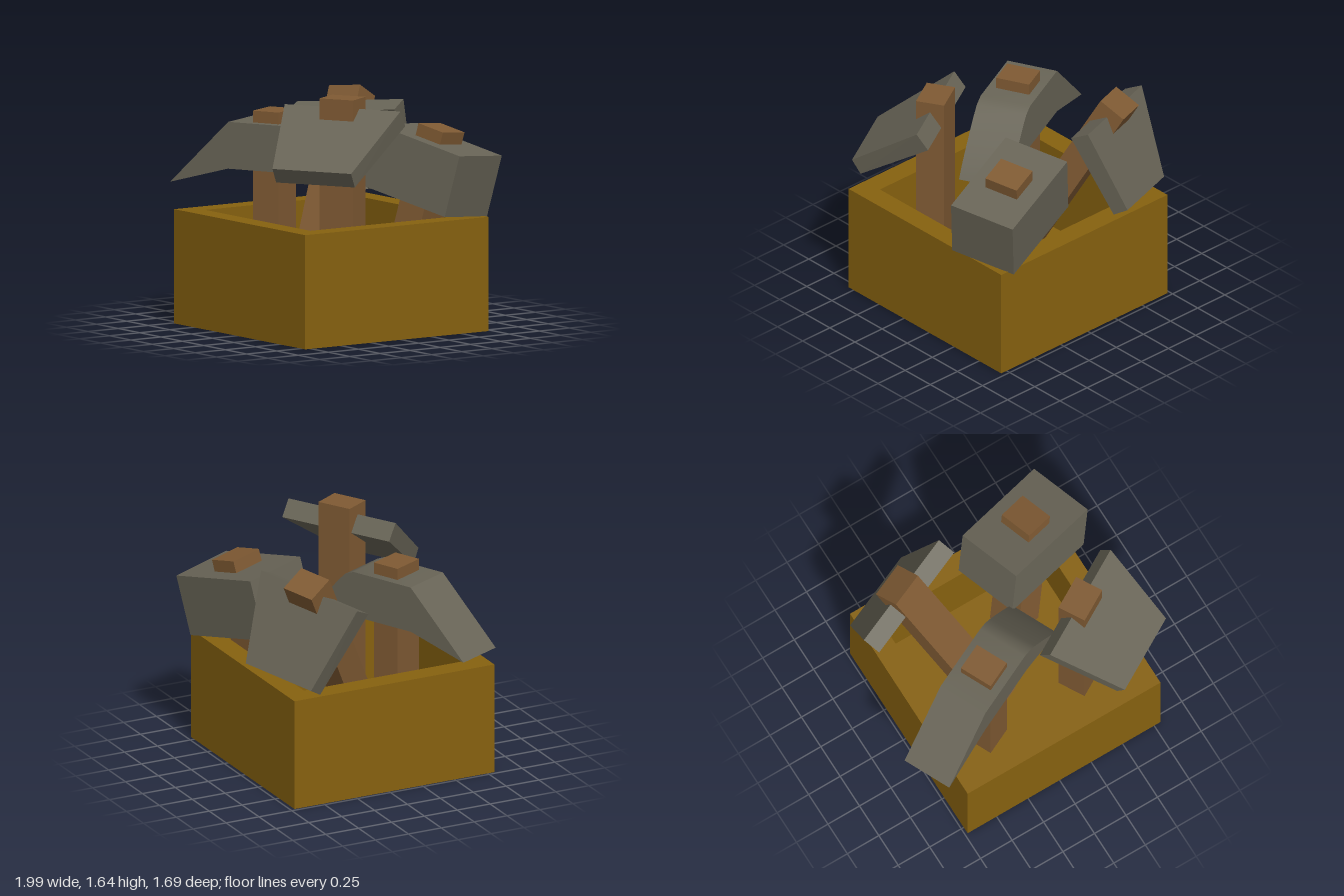
import * as THREE from 'three';
import { toCreasedNormals } from 'three/addons/utils/BufferGeometryUtils.js';

const mat = (name, color) => Object.assign(new THREE.MeshStandardMaterial({ color }), { name });

// Prism from a side profile, centred on z
function prism(points, width) {
  const shape = new THREE.Shape(points.map(([x, y]) => new THREE.Vector2(x, y)));
  return new THREE.ExtrudeGeometry(shape, { depth: width, bevelEnabled: false }).translate(0, 0, -width / 2);
}

// Slanted blade that narrows towards its cutting edge; origin at the handle top
function hoeHead() {
  const geo = prism([[0, -0.07], [-0.08, -0.18], [0.44, -0.54], [0.5, -0.44]], 0.86);
  const p = geo.attributes.position;
  for (let i = 0; i < p.count; i++) if (p.getX(i) > 0.2) p.setZ(i, p.getZ(i) * 0.68);
  geo.rotateY(-Math.PI / 2);
  geo.computeVertexNormals();
  return geo;
}

// Pick with one straight point and one rounded point
function pickHead() {
  const geo = prism([
    [-0.706, -0.52], [-0.26, -0.40], [0.257, -0.40], [0.626, -0.52],
    [0.57, -0.43], [0.47, -0.3], [0.36, -0.17], [0.3, -0.11], [0.23, -0.08], [-0.257, -0.08],
  ], 0.36);
  return toCreasedNormals(geo, 0.6);
}

const hammerHead = () => new THREE.BoxGeometry(0.74, 0.43, 0.48).translate(0, -0.3, 0);

export function createModel() {
  const model = new THREE.Group();
  const crateMat = mat('ochre crate', 0x86610f);
  const woodMat = mat('brown wood', 0x7f5a33);
  const stoneMat = mat('grey stone', 0x686456);

  const add = (parent, name, geo, material) => {
    const mesh = new THREE.Mesh(geo, material);
    mesh.name = name;
    parent.add(mesh);
    return mesh;
  };

  // Open crate: wall ring plus floor
  const crate = new THREE.Group();
  crate.name = 'crate';
  const rect = (C, w, h) => new C([[-w, -h], [w, -h], [w, h], [-w, h]].map(([x, y]) => new THREE.Vector2(x / 2, y / 2)));
  const ring = rect(THREE.Shape, 1.53, 1.52);
  ring.holes.push(rect(THREE.Path, 1.23, 1.22));
  add(crate, 'crateWalls', new THREE.ExtrudeGeometry(ring, { depth: 0.78, bevelEnabled: false }).rotateX(-Math.PI / 2), crateMat);
  add(crate, 'crateFloor', new THREE.BoxGeometry(1.23, 0.15, 1.22).translate(0, 0.075, 0), crateMat);
  crate.position.set(0.035, 0, 0.04);
  model.add(crate);

  // Tools: handle top, handle direction and head width direction
  const tools = [
    { name: 'pick', head: pickHead(), size: [0.2, 0.24], length: 1.37, top: [-0.285, 1.47, 0.285], up: [0, 1, 0], across: [0.903, 0, -0.429] },
    { name: 'frontHoe', head: hoeHead(), size: [0.25, 0.2], length: 1.54, top: [0.49, 1.64, 0.27], up: [0, 1, 0], across: [0.865, 0, -0.5] },
    { name: 'backHoe', head: hoeHead(), size: [0.25, 0.2], length: 1.5, top: [-0.49, 1.51, -0.505], up: [-0.26, 0.87, -0.42], across: [-0.908, -0.138, 0.395] },
    { name: 'hammer', head: hammerHead(), size: [0.215, 0.245], length: 1.27, top: [0.54, 1.375, -0.515], up: [0.174, 0.972, -0.162], across: [0.939, -0.23, -0.277] },
  ];
  for (const t of tools) {
    const tool = new THREE.Group();
    tool.name = t.name;
    add(tool, t.name + 'Handle', new THREE.BoxGeometry(t.size[0], t.length, t.size[1]).translate(0, -t.length / 2, 0), woodMat);
    add(tool, t.name + 'Head', t.head, stoneMat);
    const up = new THREE.Vector3(...t.up).normalize();
    const facing = new THREE.Vector3(...t.across).cross(up).normalize();
    const across = up.clone().cross(facing);
    tool.applyMatrix4(new THREE.Matrix4().makeBasis(across, up, facing).setPosition(...t.top));
    model.add(tool);
  }
  return model;
}
